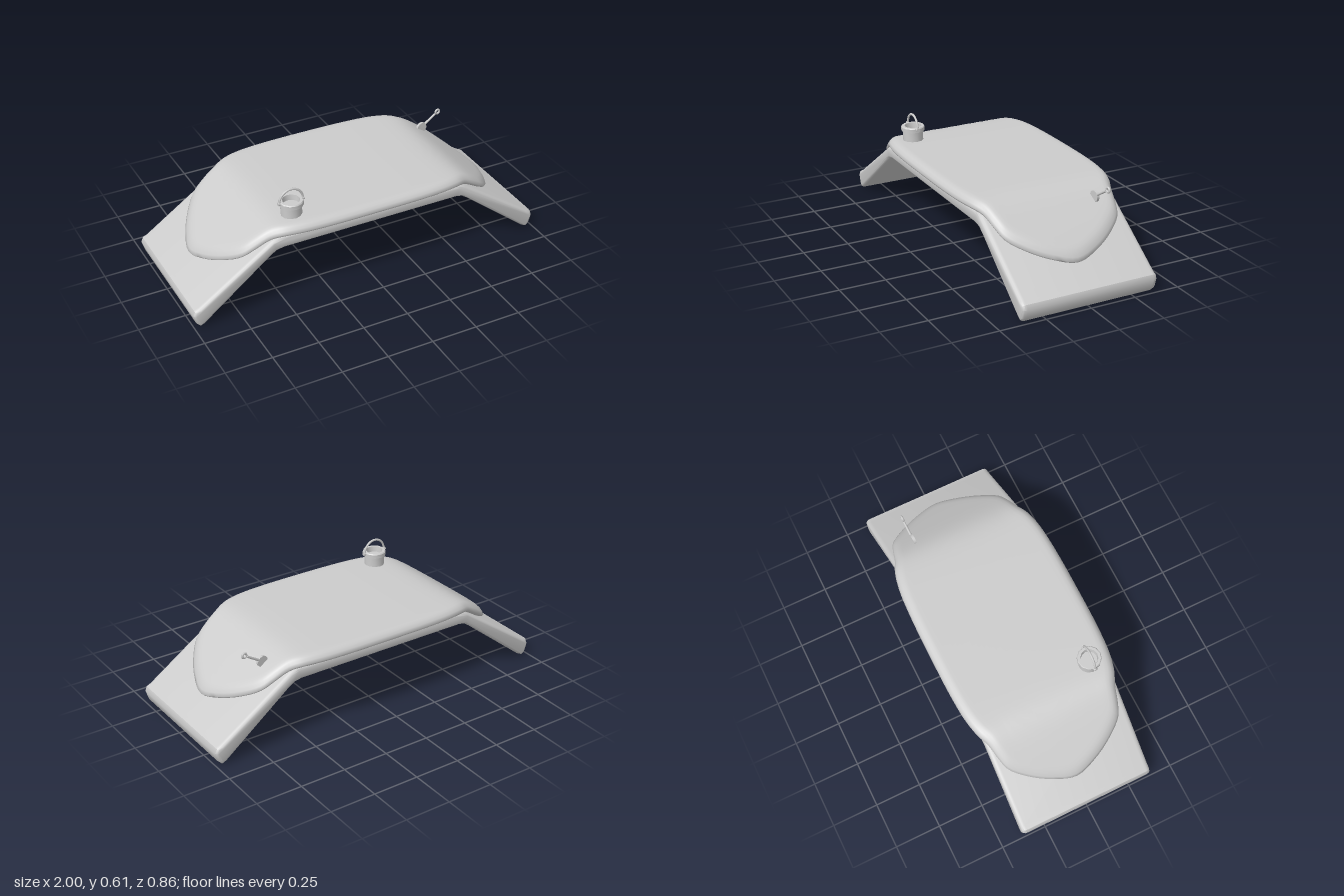
import * as THREE from 'three';
import { toCreasedNormals } from 'three/addons/utils/BufferGeometryUtils.js';

const material = new THREE.MeshStandardMaterial({ color: 0xcccccc, side: THREE.DoubleSide });

function add(parent, name, geometry, x = 0, y = 0, z = 0) {
  const mesh = new THREE.Mesh(geometry, material);
  mesh.name = name;
  mesh.position.set(x, y, z);
  parent.add(mesh);
  return mesh;
}

// Bent slab: right half of the profile, mirrored, then extruded along z
function slabGeometry() {
  const top = [[0.48, 0.4], [0.52, 0.397], [0.56, 0.382], [0.965, 0.106], [0.99, 0.095], [1, 0.07]];
  const under = [[0.985, 0.02], [0.965, 0], [0.94, 0.012], [0.58, 0.295], [0.54, 0.322], [0.5, 0.33]];
  const half = [...top, ...under];
  const mirrored = half.map(([x, y]) => [-x, y]).reverse();
  const shape = new THREE.Shape([...half, ...mirrored].map(([x, y]) => new THREE.Vector2(x, y)));
  const bevel = 0.025;
  const geometry = new THREE.ExtrudeGeometry(shape, {
    depth: 0.755 - 2 * bevel, bevelThickness: bevel, bevelSize: 0.015, bevelOffset: -0.015, bevelSegments: 3,
  });
  geometry.translate(0, 0, -0.38 + bevel);
  return toCreasedNormals(geometry, 0.7);
}

// Height of the cover: flat in the middle, bending softly down the ramps
function coverHeight(x) {
  const t = Math.abs(x) - 0.55;
  return 0.465 - 0.37 * (t + Math.sqrt(t * t + 0.004));
}

// Soft cover: rings scaled from one outline, ending in a rolled rim
function coverGeometry() {
  const q = [[0.868, 0], [0.835, 0.12], [0.775, 0.235], [0.705, 0.32], [0.645, 0.345], [0.57, 0.365],
    [0.5, 0.395], [0.4, 0.417], [0.25, 0.428], [0, 0.431]];
  const back = q.slice(0, -1).reverse().map(([x, z]) => [-x, z]);
  const side = [...q, ...back];
  const other = side.slice(1, -1).reverse().map(([x, z]) => [x, -z]);
  const curve = new THREE.CatmullRomCurve3(
    [...side, ...other].map(([x, z]) => new THREE.Vector3(x, 0, z)), true, 'centripetal');
  const N = 144;
  const outline = curve.getPoints(N);

  // Each ring is [inset from the outline, drop below the top]
  const rings = [];
  for (let i = 0; i <= 16; i++) rings.push([0.43 - i * 0.0235, 0]);
  rings.push([0.035, 0.001], [0.02, 0.007], [0.007, 0.02], [0, 0.035], [0.006, 0.047], [0.025, 0.06], [0.05, 0.07], [0.085, 0.085]);

  const positions = [], index = [];
  rings.forEach(([inset, drop], r) => {
    for (let i = 0; i <= N; i++) {
      const inner = 1 - inset / 0.431;
      // Near the rim the inset is equal in x and z; further in it is a plain scale
      const sx = inset < 0.09 ? 1 - inset / 0.868 : inner * (1 - 0.09 / 0.868) / (1 - 0.09 / 0.431);
      const x = outline[i].x * sx, z = outline[i].z * inner;
      positions.push(x, coverHeight(x) - drop, z - 0.004);
      if (r && i < N) {
        const a = (r - 1) * (N + 1) + i, c = r * (N + 1) + i;
        index.push(a, a + 1, c, a + 1, c + 1, c);
      }
    }
  });
  const geometry = new THREE.BufferGeometry();
  geometry.setAttribute('position', new THREE.Float32BufferAttribute(positions, 3));
  geometry.setIndex(index);
  geometry.computeVertexNormals();
  return toCreasedNormals(geometry, 1.2);
}

// Little pot with a thick rim, open on top, and an arched handle
function createPot() {
  const pot = new THREE.Group();
  pot.name = 'pot';
  const profile = [[0, 0], [0.055, 0], [0.055, 0.065], [0.064, 0.065], [0.064, 0.085],
    [0.06, 0.09], [0.046, 0.09], [0.043, 0.06], [0, 0.06]].map(([r, y]) => new THREE.Vector2(r, y));
  add(pot, 'potBody', toCreasedNormals(new THREE.LatheGeometry(profile, 12), 0.6));
  const arch = add(pot, 'potHandle', new THREE.TorusGeometry(0.065, 0.006, 8, 20, Math.PI), 0, 0.082, 0);
  arch.scale.y = 1.05;
  for (const s of [-1, 1]) {
    const pin = add(pot, 'handlePin', new THREE.CylinderGeometry(0.01, 0.01, 0.014, 10), s * 0.066, 0.082, 0);
    pin.rotation.z = Math.PI / 2;
  }
  pot.position.set(-0.415, 0.45, 0.282);
  return pot;
}

// Thin lever: a flat disc on the ramp, a sloping rod and an eyelet at its tip
function createLever() {
  const lever = new THREE.Group();
  lever.name = 'lever';
  const disc = add(lever, 'leverDisc', new THREE.CylinderGeometry(0.03, 0.03, 0.014, 16));
  disc.rotation.x = Math.PI / 2;
  const rod = add(lever, 'leverRod', new THREE.CylinderGeometry(0.006, 0.007, 0.095, 8), 0.06, 0, 0);
  rod.rotation.z = -Math.PI / 2;
  add(lever, 'leverEyelet', new THREE.TorusGeometry(0.012, 0.006, 8, 16), 0.127, 0, 0);
  lever.rotation.set(0, 0.09, 0.57, 'YZX');
  lever.position.set(0.636, 0.408, -0.23);
  return lever;
}

export function createModel() {
  const model = new THREE.Group();
  model.name = 'coveredArch';
  add(model, 'slab', slabGeometry());
  add(model, 'cover', coverGeometry());
  model.add(createPot(), createLever());
  return model;
}
